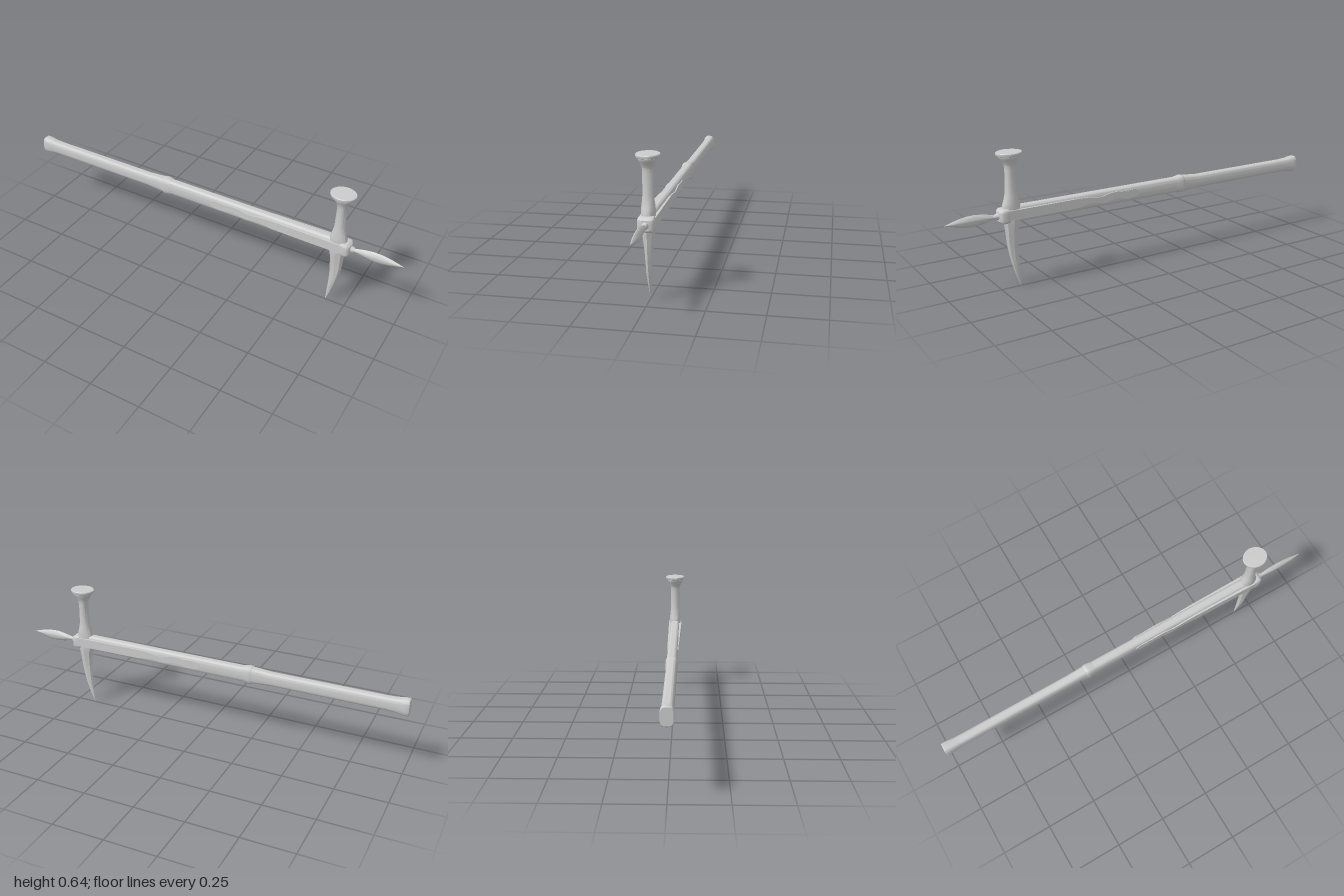
import * as THREE from 'three';
import { toCreasedNormals } from 'three/addons/utils/BufferGeometryUtils.js';

const MID = 0.352; // height of the handle's axis
const HEAD = 0.685; // x of the hammer head

// Skins rounded rings along x or y. Station: [t, centre, halfA, halfB];
// on x: centre and halfA are y, halfB is z. On y: halfA is z, centre and halfB are x.
function loft(axis, stations, { sides = 24, power = 2, crease = 0.6 } = {}) {
  const pos = [], idx = [];
  const put = (t, u, v) => (axis === 'x' ? pos.push(t, u, v) : pos.push(v, t, u));
  const bend = (c) => Math.sign(c) * Math.pow(Math.abs(c), 2 / power);
  for (const [t, c, a, b] of stations) {
    for (let j = 0; j < sides; j++) {
      const ang = (j / sides) * Math.PI * 2;
      const u = a * bend(Math.cos(ang)), v = b * bend(Math.sin(ang));
      axis === 'x' ? put(t, c + u, v) : put(t, u, c + v);
    }
  }
  const last = stations.length - 1;
  for (let i = 0; i < last; i++) {
    for (let j = 0; j < sides; j++) {
      const k = (j + 1) % sides, p = i * sides, q = p + sides;
      idx.push(p + j, p + k, q + k, p + j, q + k, q + j);
    }
  }
  // end caps
  for (const i of [0, last]) {
    const [t, c] = stations[i], m = pos.length / 3;
    axis === 'x' ? put(t, c, 0) : put(t, 0, c);
    for (let j = 0; j < sides; j++) {
      const a = i * sides + j, b = i * sides + ((j + 1) % sides);
      i === 0 ? idx.push(m, b, a) : idx.push(m, a, b);
    }
  }
  const geo = new THREE.BufferGeometry();
  geo.setAttribute('position', new THREE.Float32BufferAttribute(pos, 3));
  geo.setIndex(idx);
  return toCreasedNormals(geo, crease);
}

// Side strap with a wavy tail, thickening towards the head
function strap(side) {
  const v = (list) => list.map(([x, y]) => new THREE.Vector2(x, y));
  const s = new THREE.Shape();
  s.moveTo(0.72, 0.331);
  s.lineTo(0.72, 0.376);
  s.lineTo(0.36, 0.376);
  s.splineThru(v([[0.3, 0.372], [0.24, 0.365], [0.17, 0.376], [0.1, 0.372], [0.05, 0.373],
    [0.022, 0.356], [0.04, 0.336], [0.09, 0.333], [0.15, 0.343], [0.22, 0.333],
    [0.29, 0.342], [0.36, 0.331]]));
  s.closePath();
  const geo = new THREE.ExtrudeGeometry(s, { depth: 1, bevelEnabled: false, curveSegments: 48 });
  const p = geo.attributes.position;
  for (let i = 0; i < p.count; i++) {
    const outer = 0.0265 + 0.0095 * THREE.MathUtils.clamp(p.getX(i) / 0.72, 0, 1);
    const far = p.getZ(i) > 0.5;
    p.setZ(i, side > 0 ? (far ? outer : 0.01) : (far ? -0.01 : -outer));
  }
  return toCreasedNormals(geo, 0.6);
}

export function createModel() {
  const group = new THREE.Group();
  const material = new THREE.MeshStandardMaterial({ color: 0xcccccc });
  const add = (name, geo) => {
    const mesh = new THREE.Mesh(geo, material);
    mesh.name = name;
    group.add(mesh);
  };

  // Grip with a flared butt
  add('grip', loft('x', [
    [-1, MID, 0.038, 0.026], [-0.995, MID, 0.042, 0.028], [-0.975, MID, 0.041, 0.028],
    [-0.94, MID, 0.035, 0.025], [-0.9, MID, 0.033, 0.024], [-0.34, MID, 0.033, 0.024],
    [-0.28, MID, 0.038, 0.025], [-0.24, MID, 0.041, 0.027],
  ], { power: 3.2, sides: 32 }));

  // Raised ring between grip and shaft
  add('gripRing', loft('x', [
    [-0.25, MID, 0.04, 0.026], [-0.243, MID, 0.044, 0.029],
    [-0.23, MID, 0.044, 0.029], [-0.2, MID, 0.038, 0.0255],
  ], { power: 3.2, sides: 32 }));

  add('shaft', loft('x', [
    [-0.22, MID, 0.038, 0.025], [0.72, MID, 0.038, 0.025],
  ], { power: 3.2, sides: 32 }));

  add('frontStrap', strap(1));
  add('backStrap', strap(-1));

  // Collar at the end of the shaft
  add('collar', loft('x', [
    [0.705, 0.35, 0.031, 0.035], [0.712, 0.35, 0.033, 0.0365],
    [0.735, 0.35, 0.033, 0.0365], [0.743, 0.35, 0.029, 0.033], [0.75, 0.35, 0.022, 0.022],
  ], { power: 6, sides: 40 }));

  // Leaf-shaped end spike on a narrow neck
  add('spikeNeck', loft('x', [
    [0.745, 0.35, 0.017, 0.015], [0.76, 0.35, 0.014, 0.013],
    [0.77, 0.35, 0.009, 0.009], [0.8, 0.35, 0.01, 0.009],
  ]));
  add('endSpike', loft('x', [
    [0.765, 0.35, 0.009, 0.008], [0.785, 0.35, 0.014, 0.01], [0.82, 0.35, 0.022, 0.0125],
    [0.86, 0.35, 0.027, 0.014], [0.9, 0.35, 0.025, 0.013], [0.94, 0.35, 0.018, 0.01],
    [0.975, 0.35, 0.008, 0.005], [1, 0.35, 0.0005, 0.0005],
  ], { sides: 16, power: 1.5 }));

  // Hammer arm, swelling at the root and flaring below the face
  add('hammerArm', loft('y', [
    [0.34, HEAD, 0.03, 0.043], [0.39, HEAD, 0.03, 0.042], [0.41, HEAD, 0.0295, 0.036],
    [0.44, HEAD, 0.026, 0.028], [0.465, HEAD, 0.024, 0.025], [0.56, HEAD, 0.024, 0.022],
    [0.58, HEAD, 0.026, 0.025], [0.6, HEAD, 0.034, 0.037], [0.613, HEAD, 0.041, 0.047],
    [0.62, HEAD, 0.042, 0.049], [0.626, HEAD, 0.04, 0.047],
  ], { sides: 16, power: 2.2, crease: 0.45 }));

  add('hammerFace', loft('y', [
    [0.622, HEAD, 0.047, 0.055], [0.625, HEAD, 0.051, 0.06], [0.63, HEAD, 0.0525, 0.0615],
    [0.635, HEAD, 0.052, 0.061], [0.638, HEAD, 0.049, 0.058],
  ], { sides: 32, power: 1.9 }));

  // Curved, faceted beak pointing down
  add('beak', loft('y', [
    [0, 0.653, 0.0005, 0.0005], [0.05, 0.664, 0.006, 0.01], [0.12, 0.677, 0.0135, 0.0185],
    [0.17, 0.683, 0.015, 0.024], [0.22, 0.686, 0.018, 0.029], [0.27, 0.686, 0.024, 0.033],
    [0.3, 0.685, 0.028, 0.038], [0.32, 0.685, 0.03, 0.042], [0.36, 0.685, 0.03, 0.043],
  ], { sides: 8, power: 2, crease: 0.5 }));

  return group;
}
